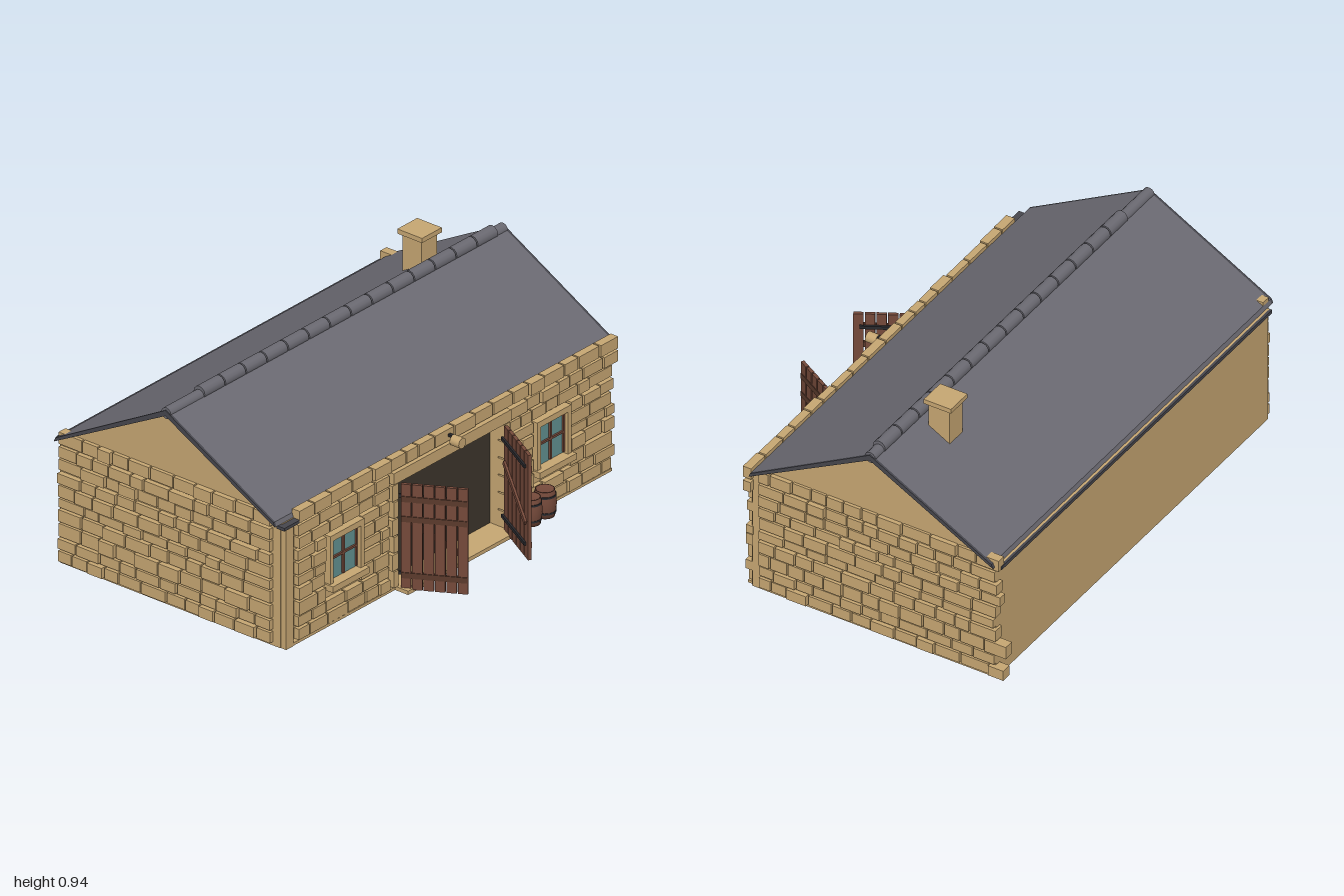
import * as THREE from 'three';
import { mergeGeometries } from 'three/addons/utils/BufferGeometryUtils.js';

const mat = (name, color) => {
  const m = new THREE.MeshStandardMaterial({ color });
  m.name = name;
  return m;
};
const stone = mat('sandstone', 0xc6a672), slate = mat('slate', 0x6b6a72), verge = mat('darkSlate', 0x46464d);
const wood = mat('brownWood', 0x74493a), woodDark = mat('darkWood', 0x5a3a2c), iron = mat('iron', 0x29292d);
const glass = mat('glass', 0x629090), dark = mat('darkInterior', 0x3d352c);

// Box geometry from its minimum and maximum corners
function block(x0, x1, y0, y1, z0, z1) {
  return new THREE.BoxGeometry(x1 - x0, y1 - y0, z1 - z0)
    .translate((x0 + x1) / 2, (y0 + y1) / 2, (z0 + z1) / 2);
}

// Prism along x from a [z, y] outline
function prism(points, x0, x1) {
  const shape = new THREE.Shape(points.map(([z, y]) => new THREE.Vector2(-z, y)));
  return new THREE.ExtrudeGeometry(shape, { depth: x1 - x0, bevelEnabled: false })
    .rotateY(Math.PI / 2).translate(x0, 0, 0);
}

function seeded(seed) {
  return () => (seed = (seed * 16807) % 2147483647) / 2147483647;
}

// Stone courses: [bottom, top]
const courses = [[0.015, 0.06], [0.07, 0.112], [0.12, 0.175], [0.185, 0.235], [0.245, 0.282],
  [0.29, 0.34], [0.35, 0.392], [0.405, 0.45], [0.457, 0.503], [0.515, 0.565]];

// Splits a run into stones of uneven length and hands each one to put(a, b)
function layRun(a, b, rand, put) {
  let p = a;
  while (b - p > 0.025) {
    let end = p + 0.065 + rand() * 0.065;
    if (b - end < 0.045) end = b;
    put(p, end - 0.007);
    p = end;
  }
}

export function createModel() {
  const model = new THREE.Group();
  const add = (name, geometry, material, parent = model) => {
    const m = new THREE.Mesh(geometry, material);
    m.name = name;
    parent.add(m);
    return m;
  };

  // Wall shell around a dark interior
  add('interior', block(-0.93, 0.93, 0.006, 0.53, -0.62, 0.40), dark);
  add('backWall', block(-0.96, 0.96, 0, 0.53, -0.655, -0.62), stone);
  for (const s of [-1, 1]) {
    const x0 = s < 0 ? -0.965 : 0.925;
    add('gableWall', prism([[0.435, 0], [0.435, 0.53], [-0.105, 0.825], [-0.655, 0.53], [-0.655, 0]], x0, x0 + 0.04), stone);
    add('frontWall', s < 0 ? block(-0.96, -0.31, 0, 0.53, 0.40, 0.44) : block(0.31, 0.96, 0, 0.53, 0.40, 0.44), stone);
  }
  add('wallAboveDoor', block(-0.31, 0.31, 0.46, 0.53, 0.40, 0.44), stone);
  add('frontPlinth', mergeGeometries([block(-0.96, -0.31, 0, 0.012, 0.43, 0.46), block(0.31, 0.955, 0, 0.012, 0.43, 0.46)]), stone);

  // Front stones, leaving room for the door and windows
  const rand = seeded(4711);
  const front = [];
  courses.forEach(([y0, y1], i) => {
    let runs;
    const right = 0.955 + [0, 0.015, 0, 0.012, 0.02, 0, 0.015, 0.008, 0.04, 0.035][i];
    if (i === 9) runs = [[-0.89, right]];
    else if (i >= 2 && i <= 6) runs = [[-0.89, -0.725], [-0.515, -0.35], [0.35, 0.495], [0.71, right]];
    else runs = [[-0.89, -0.35], [0.35, right]];
    for (const [a, b] of runs) {
      layRun(a, b, rand, (p, q) => front.push(block(p, q, y0, y1, 0.43, 0.458 + rand() * 0.01)));
    }
  });
  add('frontStones', mergeGeometries(front), stone);
  add('cornerPost', block(-0.962, -0.92, 0, 0.51, 0.43, 0.462), stone);
  add('cornerCap', block(-0.98, -0.89, 0.515, 0.528, 0.43, 0.468), verge);

  // Gable stones; the +x courses run past the back corner
  const overrun = [-0.70, -0.655, -0.71, -0.665, -0.655, -0.66, -0.68, -0.67, -0.655, -0.675];
  for (const s of [-1, 1]) {
    const parts = [];
    courses.forEach(([y0, y1], i) => {
      layRun(s > 0 ? overrun[i] : -0.65, 0.405, rand, (p, q) => {
        const out = 0.974 + rand() * 0.012;
        parts.push(s > 0 ? block(0.94, out, y0, y1, p, q) : block(-out - 0.005, -0.94, y0, y1, p, q));
      });
    });
    add('gableStones', mergeGeometries(parts), stone);
  }

  // Roof slopes with dark verges
  const roofOutline = [[0.437, 0.53], [0.43, 0.548], [-0.105, 0.848], [-0.65, 0.548], [-0.657, 0.53], [-0.105, 0.824]];
  add('roof', prism(roofOutline, -0.99, 0.98), slate);
  add('roofVerge', prism(roofOutline, -1, -0.99), verge);
  add('roofVerge', prism(roofOutline, 0.98, 0.99), verge);
  add('backEavesRail', block(-0.96, 0.96, 0.515, 0.53, -0.678, -0.667), verge);
  add('backEavesStones', block(-0.96, 0.96, 0.515, 0.53, -0.667, -0.65), stone);

  // Ridge: a plain roll under a row of capping tiles
  const roll = (r, x0, x1, y) => new THREE.CylinderGeometry(r, r, x1 - x0, 12)
    .rotateZ(Math.PI / 2).translate((x0 + x1) / 2, y, -0.105);
  add('ridgeRoll', roll(0.024, -0.995, 0.985, 0.834), slate);
  const tiles = [];
  for (let i = 0; i < 14; i++) {
    const x = -0.8 + i * 0.1235;
    tiles.push(roll(0.028, x, x + 0.117, 0.844));
  }
  add('ridgeTiles', mergeGeometries(tiles), slate);

  // Chimney
  add('chimney', block(0.58, 0.67, 0.72, 0.922, -0.262, -0.167), stone);
  add('chimneyCap', block(0.568, 0.685, 0.92, 0.94, -0.277, -0.155), stone);

  // Doorway: threshold, lintel and jamb stones
  add('threshold', block(-0.32, 0.315, 0, 0.016, 0.40, 0.525), stone);
  add('lintel', block(-0.345, 0.345, 0.462, 0.51, 0.43, 0.475), stone);
  const jamb = [];
  for (const s of [-1, 1]) {
    for (let i = 0; i < 6; i++) {
      const w = i % 2 ? 0.345 : 0.335;
      const y = 0.016 + i * 0.074;
      jamb.push(block(Math.min(s * 0.31, s * w), Math.max(s * 0.31, s * w), y, y + 0.068, 0.41, 0.468));
    }
  }
  add('doorJambs', mergeGeometries(jamb), stone);

  // Door lamp on a short bracket
  add('lampBracket', block(-0.015, -0.001, 0.535, 0.545, 0.44, 0.52), iron);
  add('lamp', new THREE.CylinderGeometry(0.022, 0.022, 0.045, 16).rotateX(Math.PI / 2).translate(-0.008, 0.525, 0.508), stone);

  // Open plank doors; local x runs from the hinge, outer face turned by side
  for (const s of [-1, 1]) {
    const door = new THREE.Group();
    door.name = s < 0 ? 'rightDoor' : 'leftDoor';
    const planks = [];
    for (let i = 0; i < 6; i++) planks.push(block(i * 0.044, i * 0.044 + 0.039, 0.01, 0.458, -0.007, 0.007));
    add('doorPlanks', mergeGeometries(planks), wood, door);
    add('doorRails', mergeGeometries([0.07, 0.31, 0.395].map(y => block(0.004, 0.255, y - 0.012, y + 0.012, -s * 0.004 - 0.006, -s * 0.004 + 0.006))), woodDark, door);
    const o = s * 0.011;
    const brace = new THREE.BoxGeometry(0.275, 0.02, 0.01).rotateZ(-0.56).translate(0.125, 0.235, o);
    add('doorBrace', brace, wood, door);
    add('doorStraps', mergeGeometries([0.07, 0.4].map(y => block(-0.012, 0.235, y - 0.007, y + 0.007, o - 0.005, o + 0.004))), iron, door);
    door.position.set(s * 0.308, 0, 0.48);
    door.rotation.y = Math.atan2(-0.23, -s * 0.13);
    model.add(door);
  }

  // Windows: glass, timber bars, stone surround and sill
  for (const cx of [-0.615, 0.602]) {
    const win = new THREE.Group();
    win.name = 'window';
    add('windowGlass', block(-0.08, 0.08, 0.185, 0.365, 0.44, 0.448), glass, win);
    add('windowBars', mergeGeometries([
      block(-0.005, 0.005, 0.19, 0.365, 0.445, 0.456), block(-0.08, 0.08, 0.273, 0.282, 0.445, 0.456),
      block(-0.08, -0.073, 0.19, 0.365, 0.445, 0.456), block(0.073, 0.08, 0.19, 0.365, 0.445, 0.456),
    ]), wood, win);
    add('windowSurround', mergeGeometries([
      block(-0.1, -0.08, 0.18, 0.388, 0.43, 0.472), block(0.08, 0.1, 0.18, 0.388, 0.43, 0.472),
      block(-0.08, 0.08, 0.363, 0.388, 0.43, 0.472),
    ]), stone, win);
    add('windowSill', block(-0.108, 0.108, 0.158, 0.184, 0.43, 0.492), stone, win);
    win.position.x = cx;
    model.add(win);
  }

  // Pair of barrels with iron hoops
  const profile = [[0, 0], [0.038, 0], [0.043, 0.03], [0.045, 0.056], [0.043, 0.082], [0.038, 0.112], [0.035, 0.112], [0.035, 0.106], [0, 0.106]]
    .map(([r, y]) => new THREE.Vector2(r, y));
  for (const x of [0.424, 0.508]) {
    const barrel = new THREE.Group();
    barrel.name = 'barrel';
    add('barrelBody', new THREE.LatheGeometry(profile, 20), wood, barrel);
    for (const y of [0.022, 0.09]) add('barrelHoop', new THREE.CylinderGeometry(0.0436, 0.0436, 0.008, 20).translate(0, y, 0), iron, barrel);
    barrel.position.set(x, 0.006, 0.505);
    model.add(barrel);
  }

  return model;
}
